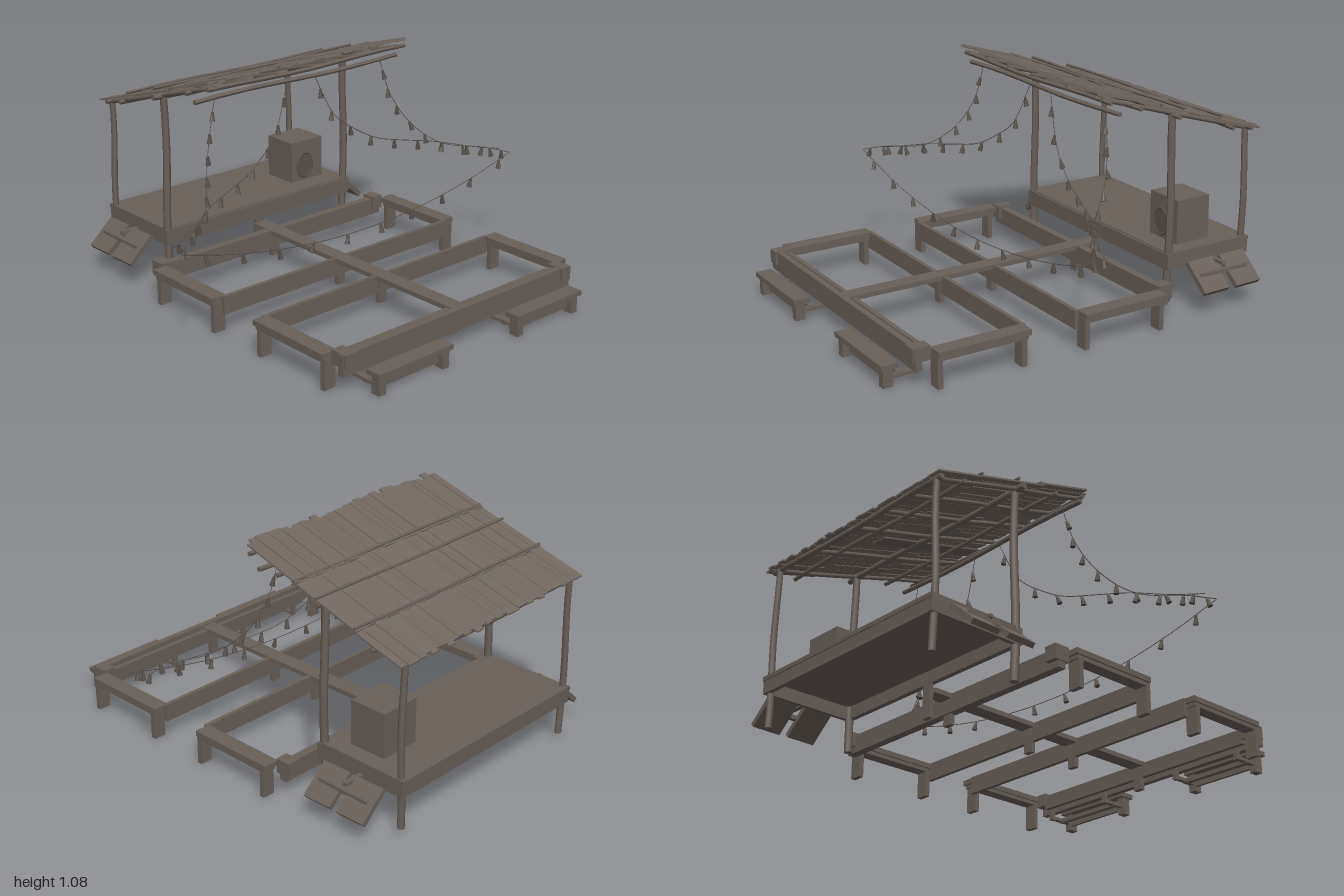
import * as THREE from 'three';

const mat = (name, color) => {
  const m = new THREE.MeshStandardMaterial({ color });
  m.name = name;
  return m;
};

export function createModel() {
  const root = new THREE.Group();
  root.name = 'beachStage';
  const wood = mat('weathered wood', 0x685e57);
  const thatch = mat('roof slats', 0x71675f);
  const dark = mat('cable and lamps', 0x5a514b);

  let seed = 7;
  const rnd = () => (seed = (seed * 16807) % 2147483647) / 2147483647;
  const jit = (a) => (rnd() - 0.5) * 2 * a;

  const add = (name, geo, m, parent = root) => {
    const mesh = new THREE.Mesh(geo, m);
    mesh.name = name;
    parent.add(mesh);
    return mesh;
  };
  // box given by its min and max on each axis
  const box = (name, x0, x1, y0, y1, z0, z1, m = wood, parent = root) => {
    const b = add(name, new THREE.BoxGeometry(x1 - x0, y1 - y0, z1 - z0), m, parent);
    b.position.set((x0 + x1) / 2, (y0 + y1) / 2, (z0 + z1) / 2);
    return b;
  };
  // slightly crooked pole between two points
  const pole = (name, a, b, r, bend = 0.006, parent = root) => {
    const A = new THREE.Vector3(...a), B = new THREE.Vector3(...b);
    const len = A.distanceTo(B);
    const g = new THREE.CylinderGeometry(r * 0.9, r, len, 8, 8);
    const p = g.attributes.position;
    const phase = rnd() * 6;
    for (let i = 0; i < p.count; i++) {
      const t = p.getY(i) / len;
      p.setX(i, p.getX(i) + Math.sin(t * 7 + phase) * bend);
    }
    g.computeVertexNormals();
    const mesh = add(name, g, wood, parent);
    mesh.position.copy(A).add(B).multiplyScalar(0.5);
    mesh.quaternion.setFromUnitVectors(new THREE.Vector3(0, 1, 0), B.sub(A).normalize());
    return mesh;
  };

  // raised deck with skirts
  box('deckFloor', -0.56, 0.58, 0.25, 0.27, -0.98, -0.51);
  box('deckFrontSkirt', -0.565, 0.585, 0.19, 0.265, -0.525, -0.5);
  box('deckBackSkirt', -0.56, 0.58, 0.19, 0.265, -0.975, -0.955);
  for (const x of [-0.56, 0.56]) box('deckSideSkirt', x, x + 0.02, 0.19, 0.265, -0.975, -0.505);

  // posts
  for (const x of [-0.54, 0.56]) {
    pole('frontPost', [x, 0.03, -0.52], [x, 0.93, -0.52], 0.019);
    pole('backPost', [x, 0.03, -0.95], [x, 0.81, -0.95], 0.016);
  }

  // sloping roof
  const roof = new THREE.Group();
  roof.name = 'roof';
  roof.position.set(0.015, 0.932, -0.548);
  roof.rotation.x = -0.286;
  root.add(roof);
  const courses = [[-0.455, -0.18, 0.0], [-0.21, 0.17, 0.004], [0.14, 0.455, 0.008]];
  const n = 34, w = 1.2 / n;
  courses.forEach(([z0, z1, lift], row) => {
    for (let i = 0; i < n; i++) {
      const a = z0 + (row === 0 ? jit(0.012) : 0);
      const b = z1 + (row === 2 ? jit(0.02) : 0);
      const x = -0.6 + i * w;
      const y = lift + jit(0.003);
      const s = box('roofSlat', x - 0.002, x + w + 0.002, y - 0.004, y + 0.004, a, b, thatch, roof);
      s.rotation.z = jit(0.08);
      s.rotation.y = jit(0.012);
    }
  });
  for (const z of [-0.2, 0.02, 0.155])
    pole('topBatten', [-0.6, 0.015, z], [0.61, 0.015, z], 0.007, 0.004, roof);
  for (const x of [-0.56, -0.38, -0.2, 0, 0.28, 0.54])
    pole('rafter', [x, -0.018, -0.43], [x, -0.018, 0.43], 0.011, 0.005, roof);
  box('loosePlank', 0.08, 0.16, -0.02, -0.012, -0.2, 0.42, wood, roof).rotation.y = 0.06;
  for (const z of [-0.3, 0.25, 0.42])
    pole('purlin', [-0.59, -0.026, z], [0.6, -0.026, z], 0.011, 0.005, roof);
  pole('frontCrossBeam', [-0.6, 0.915, -0.52], [0.61, 0.915, -0.52], 0.015);
  pole('backCrossBeam', [-0.57, 0.795, -0.95], [0.6, 0.795, -0.95], 0.014);
  pole('hangingPole', [-0.61, 0.97, -0.19], [0.61, 0.97, -0.19], 0.012);

  // speaker cabinet with a round grille
  box('speakerCabinet', 0.3, 0.5, 0.27, 0.48, -0.8, -0.615);
  const ring = add('speakerRing', new THREE.TorusGeometry(0.055, 0.006, 6, 24), dark);
  ring.scale.set(0.9, 1.15, 1);
  ring.position.set(0.385, 0.35, -0.614);
  const cone = add('speakerCone', new THREE.CircleGeometry(0.05, 24), dark);
  cone.scale.set(0.9, 1.15, 1);
  cone.position.set(0.385, 0.35, -0.612);

  // tilted boards at both ends of the deck
  for (const s of [-1, 1]) {
    const cx = s * 0.655 + (s > 0 ? 0.025 : 0);
    for (const z of [-0.84, -0.655]) {
      const b = box('sideBoard', -0.085, 0.085, -0.012, 0.012, -0.072, 0.072);
      b.position.set(cx, 0.165, z);
      b.rotation.z = -s * 0.72;
      b.rotation.y = 0.03;
    }
    box('sideBoardRail', cx - 0.012, cx + 0.012, 0.165, 0.185, -0.88, -0.61);
    box('sideBoardBracket', Math.min(s * 0.56, cx), Math.max(s * 0.56, cx), 0.2, 0.215, -0.76, -0.74);
  }

  // walkway frames: long planks, side benches and legs
  const planks = [
    ['rearPlank', -0.69, 0.69, 0.08, 0.165, -0.42, -0.38],
    ['innerRearPlank', -0.69, 0.7, 0.08, 0.165, 0.072, 0.092],
    ['innerFrontPlank', -0.69, 0.7, 0.08, 0.165, 0.347, 0.367],
    ['frontBackingPlank', -0.64, 0.64, 0.09, 0.16, 0.803, 0.825],
    ['frontPlank', -0.7, 0.7, 0.075, 0.172, 0.845, 0.875],
    ['centreBeam', -0.036, 0.04, 0.145, 0.167, -0.51, 0.84],
  ];
  for (const p of planks) box(...p);
  for (const s of [-1, 1]) {
    const cx = s * 0.715 + 0.01;
    for (const [z0, z1] of [[-0.365, 0.075], [0.355, 0.8]]) {
      box('sideBench', cx - 0.038, cx + 0.038, 0.14, 0.165, z0, z1);
      box('sideBenchApron', cx - 0.03, cx + 0.03, 0.122, 0.14, z0 + 0.01, z1 - 0.01);
      for (const z of [z0 + 0.03, z1 - 0.01])
        box('frameLeg', cx - 0.03, cx + 0.03, 0, 0.14, z - 0.012, z + 0.012);
    }
    box('rearEndBlock', s * 0.665 - 0.03, s * 0.665 + 0.03, 0.11, 0.177, -0.44, -0.365);
    box('frontEndBlock', s * 0.665 - 0.03, s * 0.665 + 0.03, 0.11, 0.174, 0.8, 0.885);
  }
  for (const z of [-0.4, 0.08, 0.36, 0.81])
    box('centreLeg', -0.022, 0.024, 0.03, 0.147, z - 0.012, z + 0.012);
  box('deckCentrePost', -0.022, 0.024, 0.03, 0.195, -0.53, -0.51);

  // low step benches in front
  for (const x0 of [-0.615, 0.215]) {
    const x1 = x0 + 0.425;
    box('stepTop', x0, x1, 0.083, 0.105, 0.92, 0.998);
    box('stepFace', x0 + 0.01, x1 - 0.01, 0.02, 0.055, 0.94, 0.955);
    box('stepRearBoard', x0 + 0.015, x1 - 0.02, 0.03, 0.05, 0.885, 0.91);
    for (const x of [x0 + 0.03, x1 - 0.03]) {
      box('stepLeg', x - 0.018, x + 0.018, 0, 0.085, 0.94, 0.985);
      box('stepRail', x - 0.012, x + 0.012, 0.033, 0.048, 0.82, 0.945);
      box('stepPeg', x - 0.012, x + 0.012, 0.03, 0.085, 0.815, 0.835);
    }
  }

  // strings of lamps
  const socketGeo = new THREE.CylinderGeometry(0.006, 0.008, 0.016, 6);
  const bulbGeo = new THREE.CylinderGeometry(0.008, 0.013, 0.028, 7);
  const lightString = (name, pts, count) => {
    const g = new THREE.Group();
    g.name = name;
    root.add(g);
    const curve = new THREE.CatmullRomCurve3(pts.map((p) => new THREE.Vector3(...p)));
    add('cable', new THREE.TubeGeometry(curve, 40, 0.002, 4), dark, g);
    for (let i = 0; i < count; i++) {
      const lamp = new THREE.Group();
      lamp.name = 'lamp';
      lamp.position.copy(curve.getPointAt((i + 0.6) / count));
      lamp.rotation.set(jit(0.2), 0, jit(0.3));
      add('socket', socketGeo, dark, lamp).position.y = -0.01;
      add('bulb', bulbGeo, dark, lamp).position.y = -0.031;
      g.add(lamp);
    }
  };
  for (const s of [-1, 1]) {
    lightString('outerString', [[s * 0.5, 0.97, -0.19], [s * 0.55, 0.8, -0.17], [s * 0.61, 0.67, -0.115],
      [s * 0.68, 0.58, -0.03], [s * 0.75, 0.54, 0.04], [s * 0.89, 0.52, 0.14], [s, 0.49, 0.22]], 9);
    lightString('innerString', [[s * 0.08, 0.97, -0.19], [s * 0.18, 0.76, -0.155], [s * 0.28, 0.68, -0.12],
      [s * 0.39, 0.62, -0.09], [s * 0.55, 0.585, -0.04], [s * 0.69, 0.56, 0.01], [s * 0.86, 0.52, 0.1],
      [s, 0.49, 0.15]], 9);
  }
  const low = [];
  for (let x = -1; x <= 1.001; x += 0.25) low.push([x, 0.338 + 0.152 * x * x, 0.225]);
  lightString('lowString', low, 10);

  return root;
}
